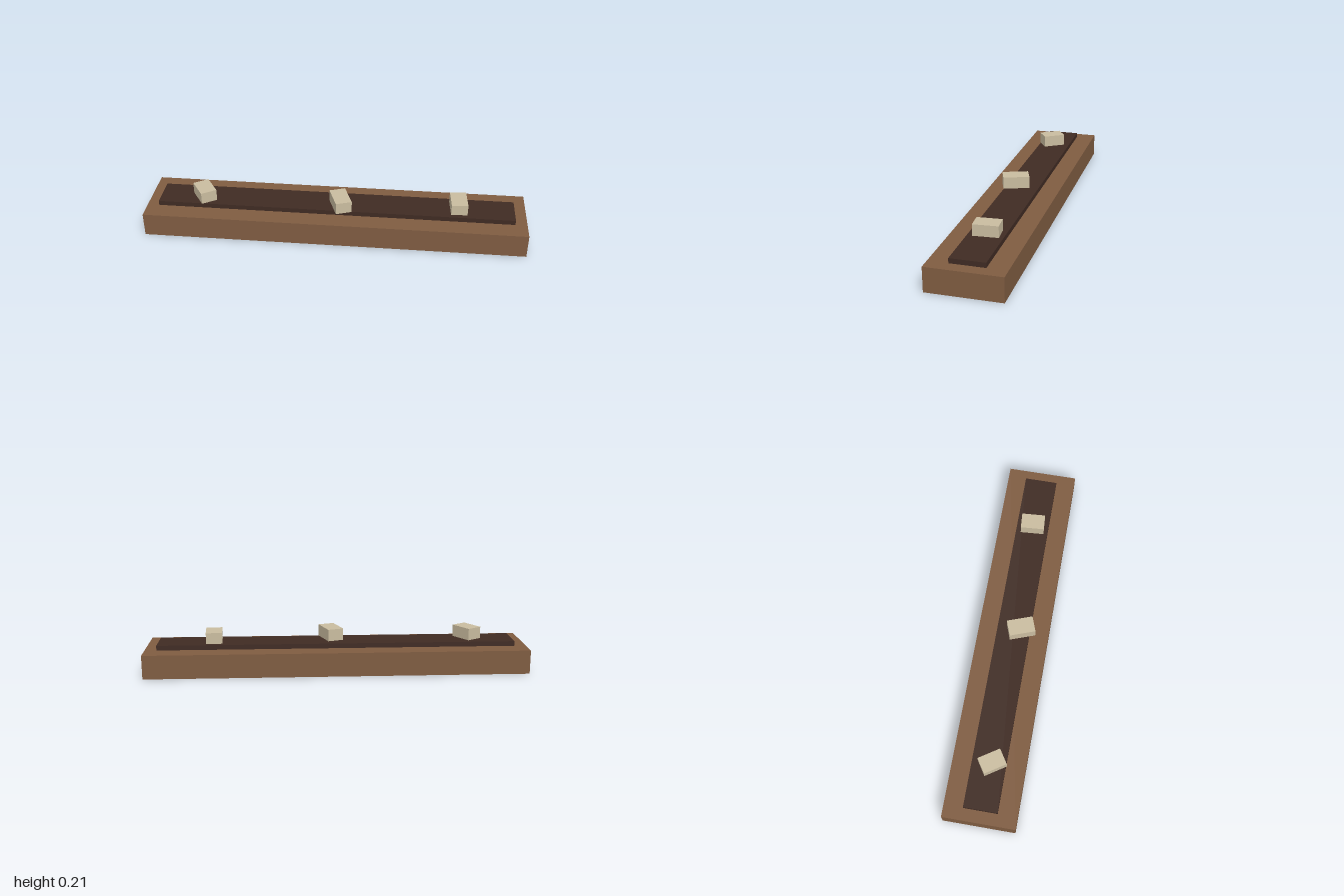
import * as THREE from 'three';

const wood = new THREE.MeshStandardMaterial({ name: 'brown wood', color: 0x7f5c41, side: THREE.DoubleSide });
const soil = new THREE.MeshStandardMaterial({ name: 'dark brown', color: 0x3f2b23 });
const stone = new THREE.MeshStandardMaterial({ name: 'pale stone', color: 0xc9bc9f });

// Box standing on height y
function box(name, material, w, h, d, x, y, z, turn = 0) {
  const mesh = new THREE.Mesh(new THREE.BoxGeometry(w, h, d), material);
  mesh.name = name;
  mesh.position.set(x, y + h / 2, z);
  mesh.rotation.y = THREE.MathUtils.degToRad(turn);
  return mesh;
}

export function createModel() {
  const model = new THREE.Group();
  model.name = 'plank';

  // Thin-walled base, hollow and open underneath: drop the bottom face
  const base = box('base', wood, 2, 0.125, 0.374, 0, 0, 0);
  const index = Array.from(base.geometry.index.array);
  index.splice(18, 6);
  base.geometry.setIndex(index);
  base.geometry.clearGroups();
  model.add(base);

  // Raised dark strip
  model.add(box('strip', soil, 1.876, 0.025, 0.174, 0, 0.125, 0));

  // Three loose blocks: x, z, height, depth, turn in degrees
  const blocks = [
    [-0.7, 0.017, 0.062, 0.122, 33],
    [0.028, 0.039, 0.062, 0.137, 20],
    [0.645, 0, 0.058, 0.126, 4],
  ];
  blocks.forEach(([x, z, h, d, turn], i) => {
    model.add(box(`block${i + 1}`, stone, 0.085, h, d, x, 0.15, z, turn));
  });
  return model;
}
